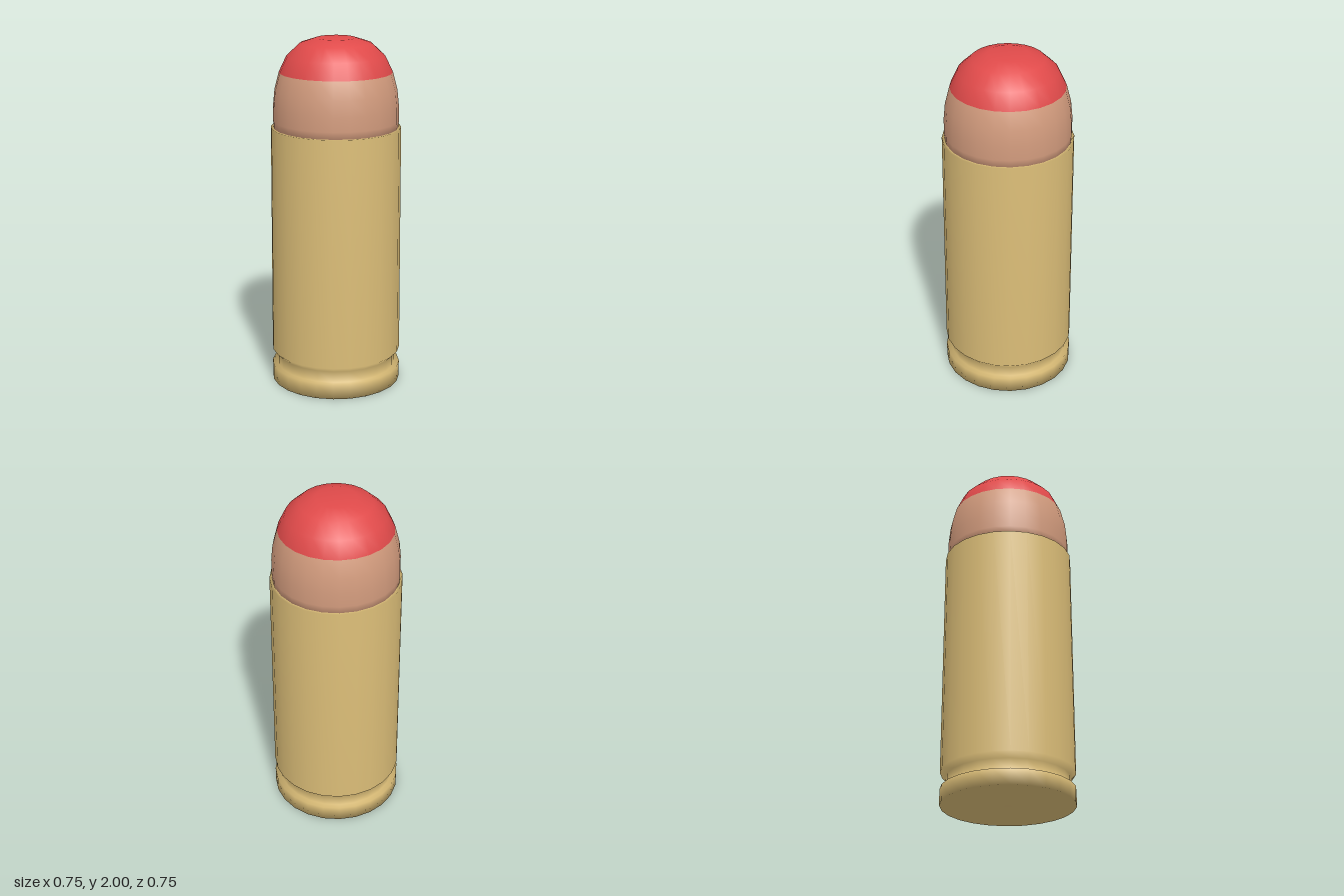
import * as THREE from 'three';

const SIDES = 24;

function material(name, color) {
  const m = new THREE.MeshStandardMaterial({ color });
  m.name = name;
  return m;
}

// Smooth lathe from a bottom-to-top profile of [radius, height] pairs
function lathe(profile) {
  return new THREE.LatheGeometry(profile.map(([r, y]) => new THREE.Vector2(r, y)), SIDES);
}

// Keeps only profile steps from..to of a lathe, so normals stay smooth across the seam
function band(geometry, steps, from, to) {
  const part = geometry.clone();
  const index = Array.from(geometry.index.array);
  part.setIndex(index.filter((_, k) => {
    const step = Math.floor(k / 6) % steps;
    return step >= from && step < to;
  }));
  return part;
}

export function createModel() {
  const group = new THREE.Group();
  group.name = 'cartridge';

  const brass = material('brass', 0xdcbe78);
  const copper = material('copper', 0xd29b7d);
  const red = material('red', 0xe04a4a);

  const add = (name, geometry, mat) => {
    const mesh = new THREE.Mesh(geometry, mat);
    mesh.name = name;
    group.add(mesh);
  };

  // Case: base, rim, extractor groove, slightly tapered wall and mouth
  add('case', lathe([
    [0, 0], [0.373, 0], [0.373, 0.09], [0.343, 0.09], [0.343, 0.155],
    [0.373, 0.185], [0.367, 1.5], [0.345, 1.5],
  ]), brass);

  // Bullet: rounded nose with a painted tip
  const nose = [
    [0.33, 1.49], [0.352, 1.5], [0.354, 1.54], [0.353, 1.62], [0.344, 1.71], [0.318, 1.81],
    [0.275, 1.9], [0.2, 1.97], [0.11, 2], [0, 2],
  ];
  const bullet = lathe(nose);
  const steps = nose.length - 1;
  add('bulletJacket', band(bullet, steps, 0, 5), copper);
  add('bulletTip', band(bullet, steps, 5, steps), red);

  return group;
}
